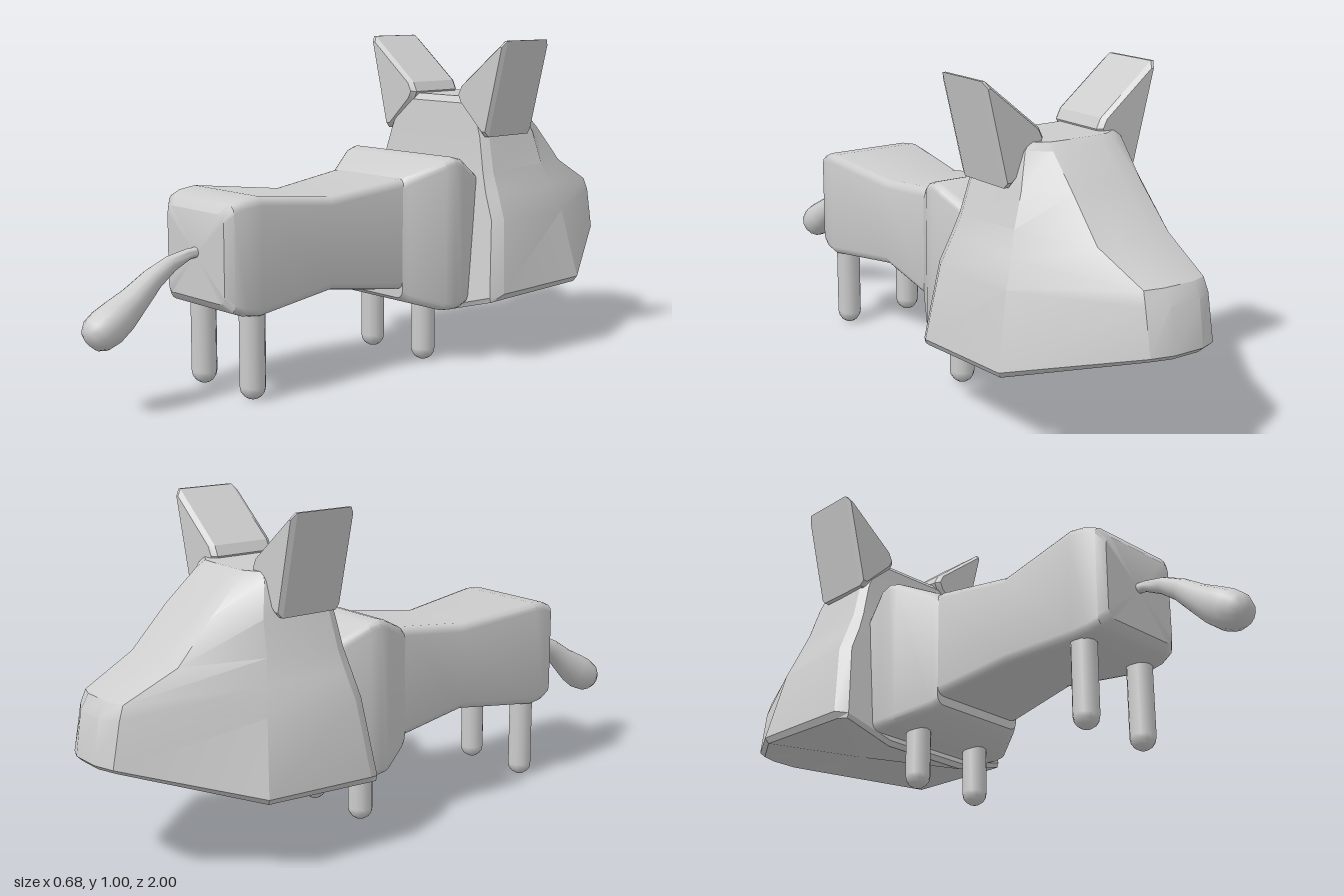
import * as THREE from 'three';
import { toCreasedNormals } from 'three/addons/utils/BufferGeometryUtils.js';

const V = (x, y, z) => new THREE.Vector3(x, y, z);

// Skin a list of equal-length rings (counter-clockwise seen from the far end) and cap both ends
function loft(rings, crease = 0.6) {
  const n = rings[0].length, pos = [], idx = [];
  rings.flat().forEach(p => pos.push(p.x, p.y, p.z));
  for (let i = 0; i < rings.length - 1; i++) {
    for (let j = 0; j < n; j++) {
      const a = i * n + j, b = i * n + (j + 1) % n;
      idx.push(a, b, b + n, a, b + n, a + n);
    }
  }
  [0, rings.length - 1].forEach((r, end) => {
    const c = V(0, 0, 0);
    rings[r].forEach(p => c.addScaledVector(p, 1 / n));
    const ci = pos.length / 3;
    pos.push(c.x, c.y, c.z);
    for (let j = 0; j < n; j++) {
      const a = r * n + j, b = r * n + (j + 1) % n;
      if (end) idx.push(ci, a, b); else idx.push(ci, b, a);
    }
  });
  const g = new THREE.BufferGeometry();
  g.setAttribute('position', new THREE.Float32BufferAttribute(pos, 3));
  g.setIndex(idx);
  return toCreasedNormals(g, crease);
}

// Rounded rectangle across the body at depth z
function boxRing(z, hw, y0, y1, r = 0.025) {
  const pts = [], cy = (y0 + y1) / 2, hh = (y1 - y0) / 2;
  [[1, 1], [-1, 1], [-1, -1], [1, -1]].forEach(([sx, sy], q) => {
    for (let k = 0; k <= 3; k++) {
      const a = (q + k / 3) * Math.PI / 2;
      pts.push(V(sx * (hw - r) + r * Math.cos(a), cy + sy * (hh - r) + r * Math.sin(a), z));
    }
  });
  return pts;
}

// Close a half outline, running rear to front, with its mirror image
const mirrorRing = half => {
  const h = half.map(p => V(...p));
  return [...h, ...h.slice().reverse().map(p => V(-p.x, p.y, p.z))];
};

export function createModel() {
  const model = new THREE.Group();
  const grey = new THREE.MeshStandardMaterial({ color: 0xcccccc });
  grey.name = 'light grey';
  const add = (name, geometry) => {
    const m = new THREE.Mesh(geometry, grey);
    m.name = name;
    model.add(m);
    return m;
  };

  // Waisted body with a rounded rump
  add('body', loft([
    boxRing(-0.06, 0.165, 0.25, 0.59), boxRing(0, 0.165, 0.25, 0.588),
    boxRing(0.245, 0.14, 0.28, 0.558), boxRing(0.53, 0.172, 0.25, 0.59),
    boxRing(0.58, 0.166, 0.255, 0.585), boxRing(0.615, 0.157, 0.268, 0.572),
    boxRing(0.635, 0.135, 0.292, 0.545)
  ]));

  // Broad chest
  add('chest', loft([
    boxRing(-0.36, 0.18, 0.21, 0.55), boxRing(-0.3, 0.2, 0.195, 0.585),
    boxRing(-0.2, 0.235, 0.176, 0.642), boxRing(-0.165, 0.238, 0.174, 0.65),
    boxRing(-0.13, 0.233, 0.176, 0.64), boxRing(-0.03, 0.175, 0.208, 0.595),
    boxRing(-0.012, 0.165, 0.222, 0.58)
  ]));

  // Wedge head: stacked outlines, each from rear middle round to the nose
  add('head', loft([
    [[0.15, 0.153, -0.245], [0.315, 0.2, -0.245], [0.325, 0.205, -0.28],
      [0.325, 0.218, -0.625], [0.1, 0.318, -0.96], [0.045, 0.322, -0.985]],
    [[0.15, 0.168, -0.235], [0.315, 0.215, -0.24], [0.338, 0.225, -0.28],
      [0.336, 0.235, -0.63], [0.11, 0.333, -0.975], [0.05, 0.337, -1]],
    [[0.15, 0.45, -0.275], [0.285, 0.45, -0.275], [0.306, 0.45, -0.31],
      [0.29, 0.45, -0.6], [0.11, 0.465, -0.95], [0.05, 0.465, -0.98]],
    [[0.15, 0.53, -0.285], [0.25, 0.53, -0.285], [0.27, 0.53, -0.32],
      [0.26, 0.53, -0.58], [0.105, 0.505, -0.935], [0.05, 0.508, -0.955]],
    [[0.14, 0.59, -0.295], [0.228, 0.59, -0.295], [0.244, 0.59, -0.325],
      [0.235, 0.6, -0.56], [0.125, 0.585, -0.775], [0.06, 0.59, -0.785]],
    [[0.14, 0.7, -0.308], [0.2, 0.7, -0.308], [0.215, 0.7, -0.335],
      [0.205, 0.7, -0.55], [0.12, 0.705, -0.665], [0.06, 0.71, -0.667]],
    [[0.1, 0.8, -0.317], [0.16, 0.8, -0.317], [0.178, 0.8, -0.345],
      [0.17, 0.8, -0.52], [0.11, 0.8, -0.565], [0.06, 0.802, -0.57]],
    [[0.1, 0.82, -0.335], [0.145, 0.82, -0.335], [0.155, 0.82, -0.355],
      [0.15, 0.82, -0.51], [0.1, 0.82, -0.54], [0.06, 0.82, -0.543]]
  ].map(mirrorRing), 0.45));

  // Ears: triangular wedges with bevelled ends
  const earOutline = [[0.302, 1.0], [0.292, 1.0], [0.11, 0.855], [0.095, 0.825],
    [0.107, 0.8], [0.21, 0.7], [0.227, 0.7]];
  for (const s of [1, -1]) {
    const ring = (z, k) => {
      const p = earOutline.map(([x, y]) =>
        V(s * (0.205 + (x - 0.205) * k), 0.835 + (y - 0.835) * k, z));
      return s > 0 ? p : p.reverse();
    };
    add(s > 0 ? 'leftEar' : 'rightEar',
      loft([ring(-0.515, 0.88), ring(-0.5, 1), ring(-0.32, 1), ring(-0.305, 0.88)], 0.4));
  }

  // Short peg legs
  for (const [name, z] of [['frontLeg', -0.147], ['hindLeg', 0.527]]) {
    for (const s of [1, -1]) {
      add((s > 0 ? 'left ' : 'right ') + name, new THREE.CapsuleGeometry(0.038, 0.25, 4, 12))
        .position.set(s * 0.117, 0.166, z);
    }
  }

  // Drooping tail swelling into a club: z, y, radius
  const spine = [[0.61, 0.427, 0.014], [0.66, 0.422, 0.016], [0.72, 0.402, 0.024],
    [0.78, 0.367, 0.032], [0.84, 0.318, 0.042], [0.89, 0.281, 0.053],
    [0.93, 0.255, 0.057], [0.96, 0.238, 0.052], [0.98, 0.226, 0.036], [0.986, 0.222, 0.018]];
  add('tail', loft(spine.map(([z, y, r], i) => {
    const a = spine[Math.max(i - 1, 0)], b = spine[Math.min(i + 1, spine.length - 1)];
    const t = V(0, b[1] - a[1], b[0] - a[0]).normalize();
    return Array.from({ length: 14 }, (_, k) => {
      const q = k / 14 * Math.PI * 2, n = r * Math.sin(q);
      return V(r * Math.cos(q), y + n * t.z, z - n * t.y);
    });
  }), 1.2));

  return model;
}
